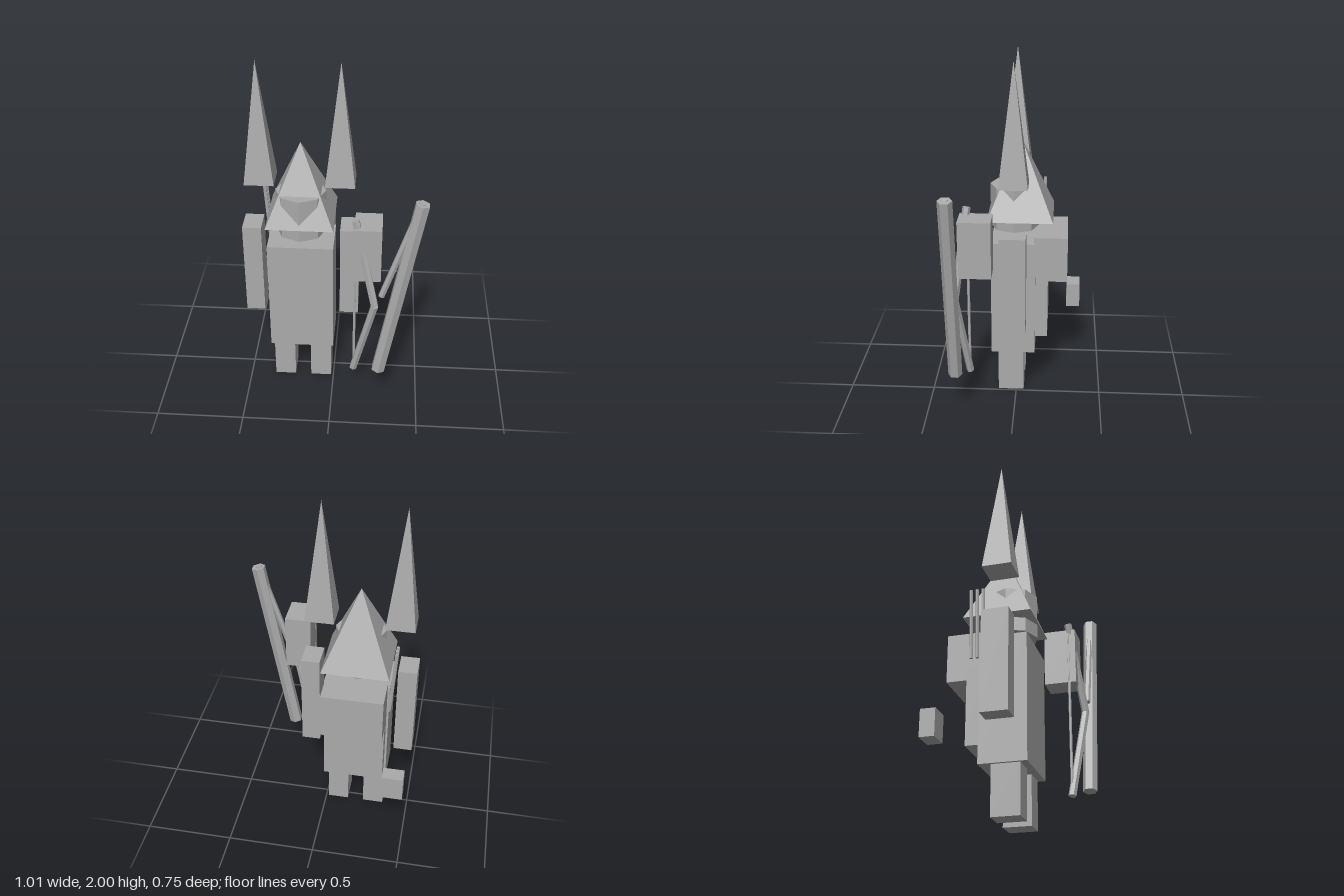
import * as THREE from 'three';

export function createModel() {
  const model = new THREE.Group();
  model.name = 'hornedArcher';
  const grey = new THREE.MeshStandardMaterial({ color: 0xaaaaaa, flatShading: true });
  grey.name = 'stone grey';

  const add = (name, geometry) => {
    const mesh = new THREE.Mesh(geometry, grey);
    mesh.name = name;
    model.add(mesh);
    return mesh;
  };

  // Box given by its extents on each axis
  const box = (name, [x0, x1], [y0, y1], [z0, z1]) =>
    add(name, new THREE.BoxGeometry(x1 - x0, y1 - y0, z1 - z0))
      .position.set((x0 + x1) / 2, (y0 + y1) / 2, (z0 + z1) / 2);

  // Four-sided spike with sides square to the axes
  const pyramid = (name, x, z, half, y0, y1) => {
    const g = new THREE.ConeGeometry(half * Math.SQRT2, y1 - y0, 4);
    g.rotateY(Math.PI / 4);
    add(name, g).position.set(x, (y0 + y1) / 2, z);
  };

  // Six-sided rod between two points
  const rod = (name, from, to, radius) => {
    const a = new THREE.Vector3(...from), b = new THREE.Vector3(...to);
    const dir = b.clone().sub(a);
    const mesh = add(name, new THREE.CylinderGeometry(radius, radius, dir.length(), 6));
    mesh.position.copy(a).add(b).multiplyScalar(0.5);
    mesh.quaternion.setFromUnitVectors(new THREE.Vector3(0, 1, 0), dir.normalize());
  };

  const cx = -0.183; // centre line of the figure

  // Torso and backpack
  box('body', [-0.367, 0.002], [0.265, 0.96], [-0.11, 0.145]);
  box('packLower', [-0.355, -0.011], [0.37, 0.8], [-0.182, -0.1]);
  box('packUpper', [-0.355, -0.011], [0.727, 0.995], [-0.292, -0.1]);

  // Mirrored limbs and tall spikes
  for (const [side, s] of [['right', -1], ['left', 1]]) {
    const leg = cx + s * 0.108, arm = cx + s * 0.272;
    box(side + 'Leg', [leg - 0.061, leg + 0.061], [0, 0.265], [-0.045, 0.106]);
    box(side + 'Arm', [arm - 0.053, arm + 0.053], [0.48, 1.045], [-0.06, 0.087]);
    pyramid(side + 'Spike', cx + s * 0.218, 0.011, 0.081, 1.32, 2);
  }

  // Head under a pointed hat
  add('head', new THREE.CylinderGeometry(0.14, 0.14, 0.25, 8)).position.set(cx, 1.135, 0.016);
  pyramid('hat', cx, -0.02, 0.187, 1.088, 1.532);

  // Loose blocks: hip pouch behind, hand block in front
  box('pouch', [-0.493, -0.373], [0.387, 0.537], [-0.375, -0.293]);
  box('handBlock', [0.123, 0.269], [0.865, 1.19], [0.12, 0.3]);

  // Arrows at the right shoulder
  for (const z of [-0.153, -0.12, -0.087])
    rod('arrow', [-0.373, 0.84, z], [-0.398, 1.23, z], 0.01);

  // Staff with its thin brace
  rod('staff', [0.27, 0.27, 0.33], [0.467, 1.385, 0.33], 0.04);
  rod('staffBrace', [0.275, 0.795, 0.33], [0.465, 1.39, 0.33], 0.018);

  // Bow
  const grip = [0.24, 0.72, 0.325];
  rod('bowUpperLimb', grip, [0.128, 1.228, 0.26], 0.022);
  rod('bowLowerLimb', [0.125, 0.21, 0.26], grip, 0.022);
  rod('bowString', [0.128, 0.22, 0.26], [0.128, 1.21, 0.26], 0.008);

  return model;
}
